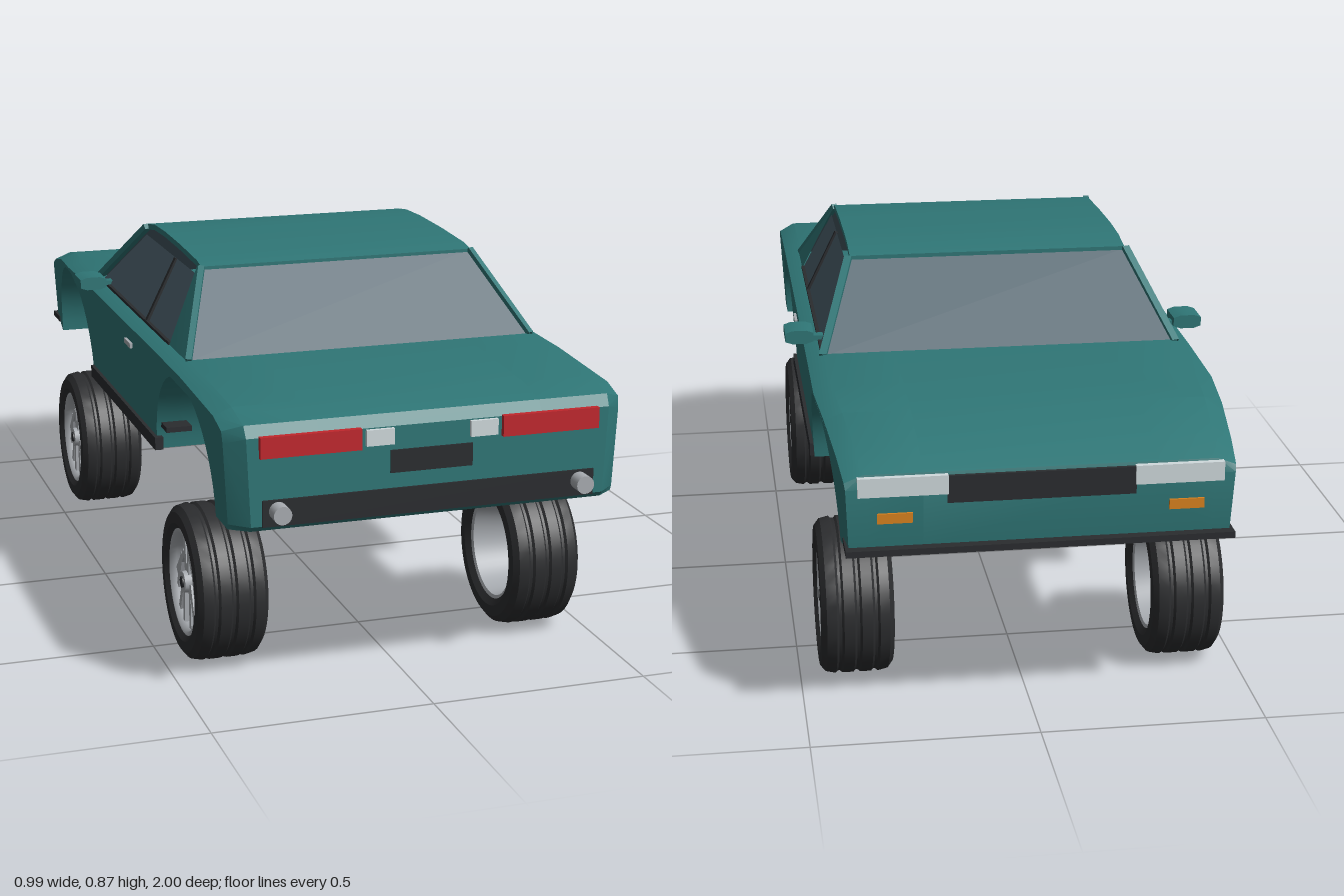
import * as THREE from 'three';
import { toCreasedNormals } from 'three/addons/utils/BufferGeometryUtils.js';

const mat = (color, side = THREE.FrontSide) => new THREE.MeshStandardMaterial({ color, side });
const paint = mat(0x2f7676), paintPanel = mat(0x2f7676, THREE.DoubleSide);
const glass = mat(0x4c606b, THREE.DoubleSide), black = mat(0x2a2c2f), rubber = mat(0x2c2d2f);
const silver = mat(0xa9adb2, THREE.DoubleSide), clear = mat(0xd0dadd), red = mat(0xc1272d), orange = mat(0xd9821e);

function add(parent, name, geometry, material, x = 0, y = 0, z = 0) {
  const mesh = new THREE.Mesh(geometry, material);
  mesh.name = name;
  mesh.position.set(x, y, z);
  parent.add(mesh);
  return mesh;
}
const box = (parent, name, m, w, h, d, x, y, z) => add(parent, name, new THREE.BoxGeometry(w, h, d), m, x, y, z);

// Flat four-cornered panel
function panel(parent, name, m, corners) {
  const g = new THREE.BufferGeometry();
  g.setAttribute('position', new THREE.Float32BufferAttribute(corners.flat(), 3));
  g.setIndex([0, 1, 2, 0, 2, 3]);
  g.computeVertexNormals();
  return add(parent, name, g, m);
}

// Square bar between two points
function bar(parent, name, m, a, b, w, h) {
  const p = new THREE.Vector3(...a), q = new THREE.Vector3(...b);
  const mesh = add(parent, name, new THREE.BoxGeometry(w, h, p.distanceTo(q)), m);
  mesh.position.copy(p).lerp(q, 0.5);
  mesh.lookAt(q);
}

// Side outline as [z, y]: top from tail to nose, then the underside
const TOP = [[0.96, 0.625], [0.945, 0.65], [0.86, 0.667], [0.6, 0.68], [0.4, 0.682], [0, 0.682],
  [-0.38, 0.682], [-0.6, 0.677], [-0.75, 0.667], [-0.9, 0.637], [-0.98, 0.61]];
const NOSE = [[-0.988, 0.58], [-0.975, 0.44], [-0.88, 0.42]];
const TAIL = [[0.95, 0.42], [0.96, 0.432]];
const AXLES = [-0.61, 0.575];

function outline(withArches) {
  const pts = [...TOP, ...NOSE];
  if (withArches) for (const c of AXLES) {
    for (let i = 0; i <= 24; i++) {
      const a = Math.PI * i / 24;
      pts.push([c - 0.255 * Math.cos(a), 0.42 + 0.233 * Math.sin(a)]);
    }
  }
  pts.push(...TAIL);
  return new THREE.Shape(pts.map(([z, y]) => new THREE.Vector2(-z, y)));
}

// Outer body flank: wheel arches, tapered nose and chamfered edges
function flankGeometry() {
  const g = new THREE.ExtrudeGeometry(outline(true), { depth: 1, steps: 2, bevelEnabled: false });
  g.rotateY(Math.PI / 2);
  const p = g.attributes.position;
  for (let i = 0; i < p.count; i++) {
    const layer = p.getX(i), y = p.getY(i), z = p.getZ(i);
    const w = 0.438 + 0.05 * (y - 0.42) - 0.09 * Math.max(0, -0.62 - z);
    if (layer < 0.25) p.setX(i, 0.25);
    else if (layer < 0.75) p.setX(i, w - 0.04);
    else {
      p.setX(i, w);
      if (TOP.some(t => Math.abs(t[0] - z) < 1e-4 && Math.abs(t[1] - y) < 1e-4)) p.setY(i, y - 0.016);
      if (z > 0.9) p.setZ(i, 0.9 + (z - 0.9) * 0.4);
    }
  }
  return toCreasedNormals(g, 0.4);
}

function makeWheel() {
  const wheel = new THREE.Group();
  const lathe = pts => new THREE.LatheGeometry(pts.map(p => new THREE.Vector2(...p)), 48).rotateZ(-Math.PI / 2);
  // Tyre with three tread grooves
  const pts = [[0.118, -0.07], [0.135, -0.082], [0.16, -0.081], [0.174, -0.07]];
  for (const c of [-0.04, 0, 0.04]) {
    pts.push([0.179, c - 0.008], [0.174, c - 0.003], [0.174, c + 0.003], [0.179, c + 0.008]);
  }
  pts.push([0.174, 0.07], [0.16, 0.081], [0.135, 0.082], [0.118, 0.07]);
  add(wheel, 'tyre', toCreasedNormals(lathe(pts), 0.6), rubber);
  // Dished rim, open on the inner side
  const rim = [[0.124, -0.073], [0.112, -0.068], [0.106, -0.02], [0.1, 0.03], [0.03, 0.042], [0.001, 0.042]];
  add(wheel, 'rimBarrel', toCreasedNormals(lathe(rim), 0.5), silver);
  add(wheel, 'rimLip', lathe([[0.1, 0.03], [0.108, 0.06], [0.114, 0.074], [0.124, 0.073]]), silver);
  // Five split spokes
  for (let i = 0; i < 5; i++) {
    const spoke = new THREE.Group();
    spoke.name = 'spoke';
    spoke.rotation.x = i * Math.PI * 2 / 5;
    for (const s of [-1, 1]) {
      bar(spoke, 'spokeArm', silver, [0.058, 0.015, s * 0.006], [0.058, 0.108, s * 0.02], 0.012, 0.016);
    }
    wheel.add(spoke);
  }
  add(wheel, 'hub', new THREE.CylinderGeometry(0.024, 0.03, 0.035, 24).rotateZ(-Math.PI / 2), silver, 0.056);
  add(wheel, 'hubCap', new THREE.CylinderGeometry(0.013, 0.013, 0.006, 20).rotateZ(-Math.PI / 2), black, 0.074);
  return wheel;
}

// Everything that sits on one side of the car
function makeSide() {
  const side = new THREE.Group();
  add(side, 'bodyFlank', flankGeometry(), paint);
  box(side, 'sideSkirt', black, 0.02, 0.03, 0.69, 0.438, 0.437, -0.005);
  box(side, 'wellTrim', black, 0.06, 0.012, 0.06, 0.4, 0.48, 0.35);
  box(side, 'doorHandle', silver, 0.012, 0.012, 0.06, 0.449, 0.622, 0.1);

  // Cabin side
  panel(side, 'sideWindow', glass, [[0.414, 0.68, 0.37], [0.414, 0.68, -0.34], [0.34, 0.832, -0.15], [0.34, 0.832, 0.322]]);
  panel(side, 'rearPillar', paintPanel, [[0.417, 0.68, 0.525], [0.417, 0.68, 0.365], [0.336, 0.85, 0.318], [0.33, 0.852, 0.338]]);
  bar(side, 'rearPillarEdge', paint, [0.412, 0.68, 0.52], [0.33, 0.85, 0.336], 0.014, 0.014);
  bar(side, 'frontPillar', paint, [0.414, 0.678, -0.385], [0.335, 0.85, -0.165], 0.018, 0.014);
  bar(side, 'doorPillar', black, [0.414, 0.685, 0.145], [0.341, 0.832, 0.145], 0.014, 0.008);
  bar(side, 'windowSill', black, [0.414, 0.682, 0.365], [0.414, 0.682, -0.345], 0.01, 0.008);

  // Door mirror with rounded corners
  const m = new THREE.Shape().absellipse(0, 0, 0.024, 0.01, 0, Math.PI * 2);
  const mirror = new THREE.ExtrudeGeometry(m, { depth: 0.064, bevelSize: 0.007, bevelThickness: 0.007, bevelSegments: 3, curveSegments: 8 });
  mirror.scale(1.2, 1, 0.8).translate(0, 0, -0.026);
  const block = new THREE.BoxGeometry(0.066, 0.032, 0.075, 4, 2, 2);
  const bp = block.attributes.position;
  for (let i = 0; i < bp.count; i++) {
    if (Math.abs(bp.getX(i)) > 0.03 && Math.abs(bp.getY(i)) > 0.01) bp.setY(i, bp.getY(i) * 0.65);
  }
  add(side, 'doorMirror', toCreasedNormals(block, 0.5), paint, 0.463, 0.698, -0.262);
  box(side, 'mirrorArm', paint, 0.05, 0.012, 0.025, 0.42, 0.69, -0.27);

  // Tail
  box(side, 'tailLight', red, 0.222, 0.046, 0.025, 0.27, 0.605, 0.959);
  box(side, 'reverseLight', clear, 0.062, 0.035, 0.02, 0.117, 0.605, 0.959);
  add(side, 'exhaust', new THREE.CylinderGeometry(0.02, 0.02, 0.07, 24).rotateX(Math.PI / 2), silver, 0.341, 0.465, 0.965);

  // Nose
  box(side, 'headlight', clear, 0.19, 0.042, 0.03, 0.293, 0.585, -0.979);
  box(side, 'indicator', orange, 0.075, 0.022, 0.02, 0.31, 0.513, -0.978);

  AXLES.forEach((z, i) => {
    const wheel = makeWheel();
    wheel.name = i ? 'tailWheel' : 'noseWheel';
    wheel.position.set(0.374, 0.18, z);
    side.add(wheel);
  });
  return side;
}

export function createModel() {
  const car = new THREE.Group();
  car.name = 'car';

  // Centre of the body, between the wheel wells
  const core = new THREE.ExtrudeGeometry(outline(false), { depth: 0.5, bevelEnabled: false });
  core.translate(0, 0, -0.25).rotateY(Math.PI / 2);
  add(car, 'bodyCore', toCreasedNormals(core, 0.4), paint);

  // Thin curved roof
  const upper = [[0.34, 0.852], [0.3, 0.859], [0.15, 0.866], [0, 0.869], [-0.1, 0.866], [-0.17, 0.855]];
  const lower = upper.map(([z, y]) => [z, y - 0.014]).reverse();
  const roofShape = new THREE.Shape([...upper, ...lower].map(([z, y]) => new THREE.Vector2(-z, y)));
  const roof = new THREE.ExtrudeGeometry(roofShape, { depth: 0.664, bevelEnabled: false });
  roof.translate(0, 0, -0.332).rotateY(Math.PI / 2);
  add(car, 'roof', toCreasedNormals(roof, 0.4), paint);

  // Sloping glass at both ends of the cabin
  panel(car, 'windscreen', glass, [[0.405, 0.68, -0.385], [-0.405, 0.68, -0.385], [-0.33, 0.848, -0.167], [0.33, 0.848, -0.167]]);
  panel(car, 'rearWindow', glass, [[-0.405, 0.68, 0.518], [0.405, 0.68, 0.518], [0.325, 0.848, 0.336], [-0.325, 0.848, 0.336]]);

  // Tail and nose trim
  box(car, 'plateRecess', black, 0.185, 0.05, 0.012, 0, 0.548, 0.958);
  box(car, 'rearBumper', black, 0.75, 0.058, 0.016, 0, 0.46, 0.957);
  box(car, 'grille', black, 0.4, 0.06, 0.025, 0, 0.573, -0.978);
  box(car, 'frontLip', black, 0.83, 0.014, 0.08, 0, 0.44, -0.958);

  const left = makeSide(), right = makeSide();
  left.name = 'leftSide';
  right.name = 'rightSide';
  right.scale.x = -1;
  car.add(left, right);
  return car;
}
